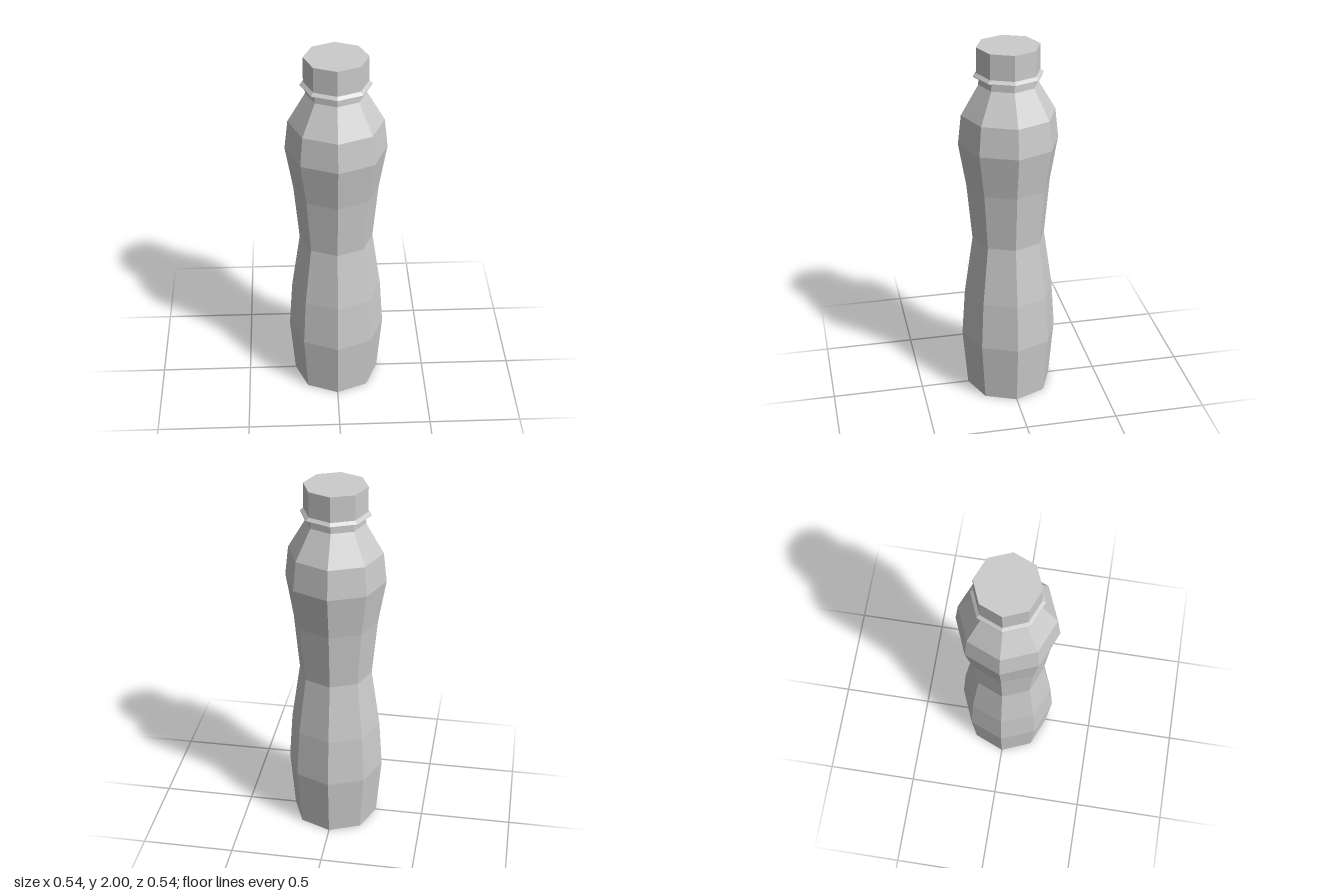
import * as THREE from 'three';

const SIDES = 8;

export function createModel() {
  const group = new THREE.Group();
  const material = new THREE.MeshStandardMaterial({ color: 0xcccccc, flatShading: true });

  // Eight-sided turned part from [radius, height] pairs, bottom to top
  const addTurned = (name, profile) => {
    const points = profile.map(([r, y]) => new THREE.Vector2(r, y));
    const mesh = new THREE.Mesh(new THREE.LatheGeometry(points, SIDES), material);
    mesh.name = name;
    group.add(mesh);
  };

  // Waisted body with shoulder and neck
  addTurned('bottleBody', [
    [0, 0], [0.235, 0], [0.263, 0.333], [0.245, 0.6], [0.198, 0.925],
    [0.227, 1.24], [0.268, 1.48], [0.25, 1.64], [0.157, 1.8], [0.155, 1.87],
  ]);

  // Thin flared collar under the cap
  addTurned('neckRing', [
    [0.155, 1.836], [0.184, 1.845], [0.184, 1.849], [0.165, 1.866], [0.15, 1.866],
  ]);

  // Screw cap
  addTurned('cap', [[0, 1.86], [0.167, 1.86], [0.167, 2], [0, 2]]);

  return group;
}
